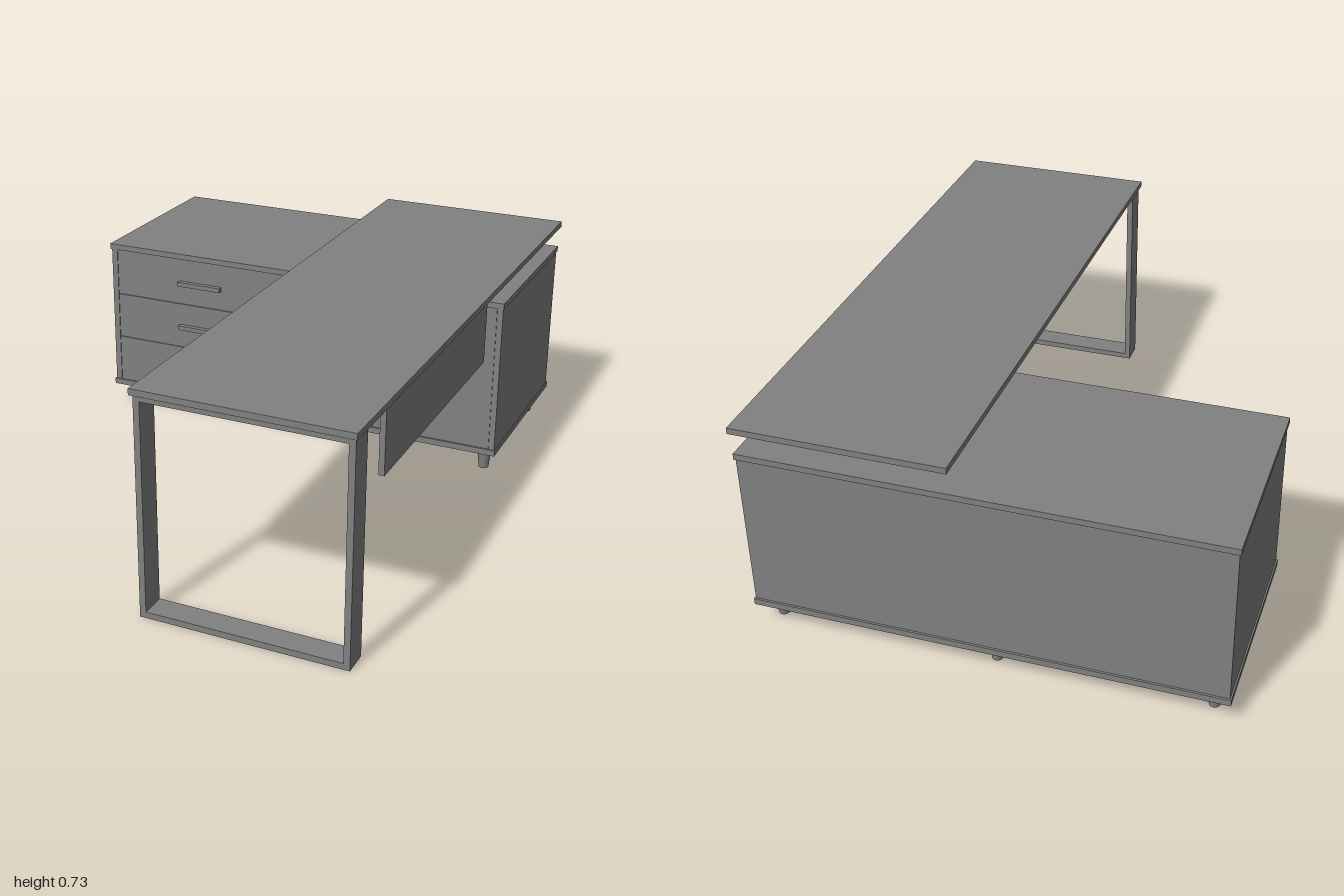
import * as THREE from 'three';

const material = new THREE.MeshStandardMaterial({ color: 0x818181 });

// Box given by its min/max extents on each axis
function slab(parent, name, [x0, x1], [y0, y1], [z0, z1]) {
  const mesh = new THREE.Mesh(new THREE.BoxGeometry(x1 - x0, y1 - y0, z1 - z0), material);
  mesh.position.set((x0 + x1) / 2, (y0 + y1) / 2, (z0 + z1) / 2);
  mesh.name = name;
  parent.add(mesh);
}

function group(parent, name) {
  const g = new THREE.Group();
  g.name = name;
  parent.add(g);
  return g;
}

function handle(parent, x, y) {
  slab(parent, 'handle', [x - 0.085, x + 0.085], [y - 0.008, y + 0.008], [-0.326, -0.306]);
}

function buildCabinet(root) {
  const cabinet = group(root, 'cabinet');
  const inner = [0.098, 0.617];
  const depth = [-0.986, -0.323];

  // Carcass
  slab(cabinet, 'cabinetTop', [-0.754, 0.748], [0.617, 0.637], [-0.993, -0.319]);
  slab(cabinet, 'cabinetBottom', [-0.754, 0.748], [0.077, 0.098], [-0.993, -0.319]);
  slab(cabinet, 'leftSide', [0.725, 0.745], inner, depth);
  slab(cabinet, 'rightSide', [-0.749, -0.727], inner, depth);
  slab(cabinet, 'backPanel', [-0.727, 0.725], inner, [-0.986, -0.97]);

  // Open compartment between drawers and door
  slab(cabinet, 'divider', [-0.072, -0.052], inner, [-0.97, -0.343]);
  slab(cabinet, 'divider', [0.235, 0.255], inner, [-0.97, -0.343]);
  slab(cabinet, 'shelf', [-0.052, 0.235], [0.377, 0.396], [-0.97, -0.343]);

  // Drawers with thin shadow gaps
  [[0.099, 0.273, 0.187], [0.275, 0.443, 0.355], [0.445, 0.616, 0.525]].forEach(([y0, y1, hy]) => {
    const drawer = group(cabinet, 'drawer');
    slab(drawer, 'drawerFront', [-0.726, -0.052], [y0, y1], [-0.343, -0.324]);
    handle(drawer, -0.385, hy);
  });

  // Door
  const door = group(cabinet, 'door');
  slab(door, 'doorPanel', [0.235, 0.724], [0.099, 0.616], [-0.343, -0.324]);
  handle(door, 0.36, 0.525);

  // Tapered feet
  const footGeometry = new THREE.CylinderGeometry(0.025, 0.017, 0.077, 24);
  for (const x of [-0.692, -0.019, 0.694]) {
    for (const z of [-0.385, -0.915]) {
      const foot = new THREE.Mesh(footGeometry, material);
      foot.name = 'foot';
      foot.position.set(x, 0.0385, z);
      cabinet.add(foot);
    }
  }
}

function buildDesk(root) {
  const desk = group(root, 'desk');
  slab(desk, 'deskTop', [0.078, 0.753], [0.71, 0.73], [-1, 1]);
  slab(desk, 'riser', [0.235, 0.6], [0.637, 0.71], [-0.81, -0.54]);
  slab(desk, 'modestyPanel', [0.71, 0.728], [0.475, 0.71], [-0.19, 0.722]);

  // Rectangular loop leg
  const frame = new THREE.Shape();
  frame.moveTo(0.085, 0).lineTo(0.745, 0).lineTo(0.745, 0.71).lineTo(0.085, 0.71).closePath();
  const opening = new THREE.Path();
  opening.moveTo(0.105, 0.02).lineTo(0.105, 0.69).lineTo(0.725, 0.69).lineTo(0.725, 0.02).closePath();
  frame.holes.push(opening);
  const leg = new THREE.Mesh(
    new THREE.ExtrudeGeometry(frame, { depth: 0.083, bevelEnabled: false }), material);
  leg.position.z = 0.905;
  leg.name = 'loopLeg';
  desk.add(leg);
}

export function createModel() {
  const model = new THREE.Group();
  model.name = 'cornerDesk';
  buildCabinet(model);
  buildDesk(model);
  return model;
}
